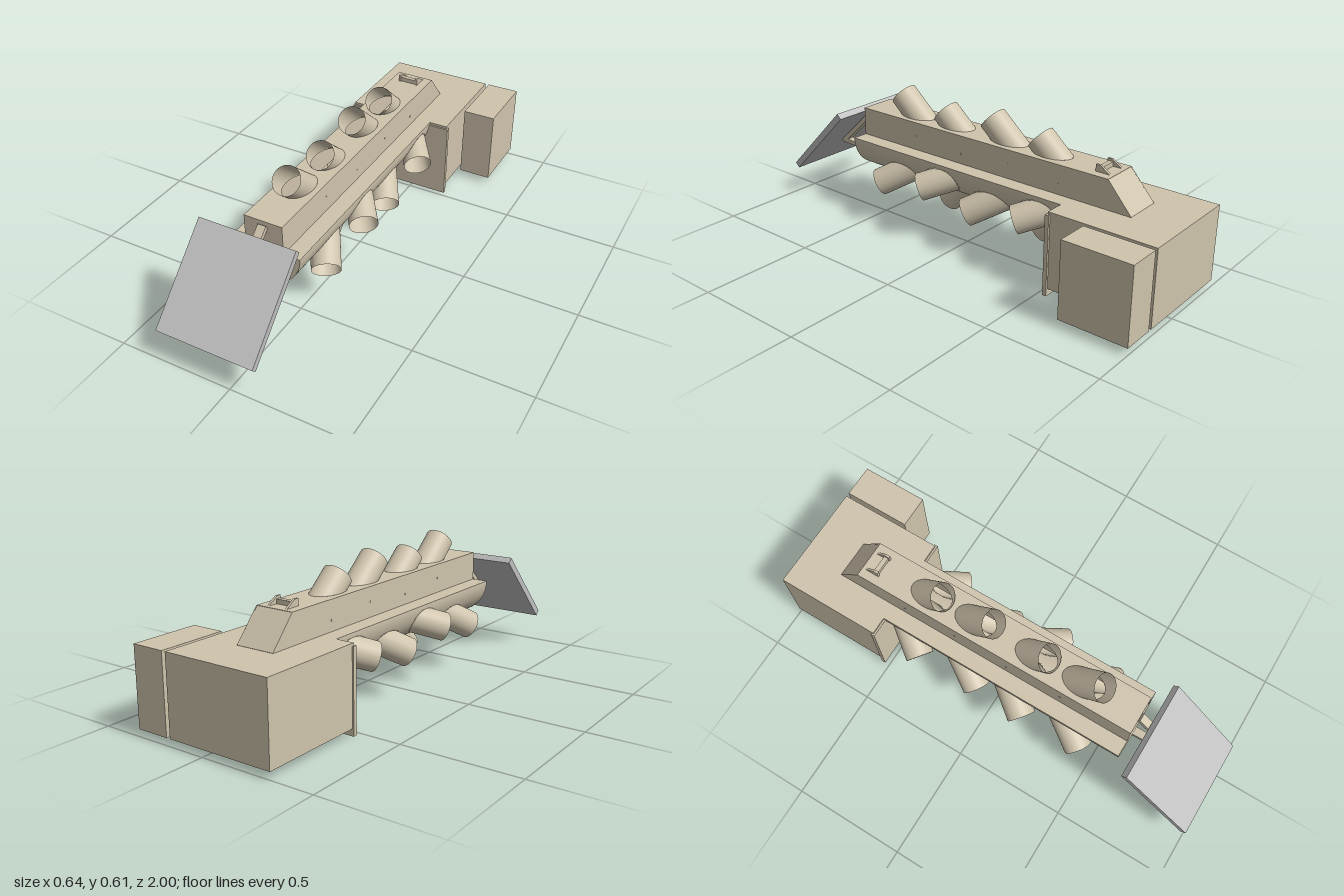
import * as THREE from 'three';

const CX = -0.08, CY = 0.36;            // axis of the long body
const R = 0.157, TOP = 0.126;           // trough radius, height of the upper housing above the axis
const Z0 = -0.53, Z1 = 0.61;            // body ends
const TR = 0.061, S = 0.657, C = 0.754; // tube radius, outward and forward parts of its direction
const deg = Math.PI / 180;

// Tubes: angle round the axis (0 = up), distance of the rim centre from the axis, z of the rim centre
const topTubes = [[0.206, 0.44], [0.18, 0.19], [0.206, -0.07], [0.18, -0.315]].map(([d, z]) => ({ a: 0, d, z }));
const lowTubes = [];
for (const side of [1, -1]) {
  for (const z of [0.44, -0.065]) lowTubes.push({ a: Math.PI - side * 45 * deg, d: 0.237, z });
  for (const z of [0.175, -0.335]) lowTubes.push({ a: Math.PI - side * 60 * deg, d: 0.222, z });
}
for (const z of [0.165, -0.34]) lowTubes.push({ a: Math.PI, d: 0.22, z });

export function createModel() {
  const model = new THREE.Group();
  const tan = new THREE.MeshStandardMaterial({ color: 0xcfc4ad, side: THREE.DoubleSide });
  tan.name = 'tan casing';
  const grey = new THREE.MeshStandardMaterial({ color: 0xbfbfbf });
  grey.name = 'grey panel';

  const add = (name, geometry, material = tan, parent = model) => {
    const mesh = new THREE.Mesh(geometry, material);
    mesh.name = name;
    parent.add(mesh);
    return mesh;
  };
  // Box given by its limits
  const box = (name, x0, x1, y0, y1, z0, z1, parent = model) => {
    const m = add(name, new THREE.BoxGeometry(x1 - x0, y1 - y0, z1 - z0), tan, parent);
    m.position.set((x0 + x1) / 2, (y0 + y1) / 2, (z0 + z1) / 2);
    return m;
  };
  // Flat bar in the side plane, running between two (z, y) points
  const bar = (name, x, width, [za, ya], [zb, yb], thick) => {
    const m = add(name, new THREE.BoxGeometry(width, thick, Math.hypot(zb - za, yb - ya)));
    m.position.set(x, (ya + yb) / 2, (za + zb) / 2);
    m.rotation.x = -Math.atan2(yb - ya, zb - za);
    return m;
  };
  // Side profile of (z, y) points extruded along x
  const profile = (name, pts, x0, x1) => {
    const shape = new THREE.Shape(pts.map(([z, y]) => new THREE.Vector2(-z, y)));
    const g = new THREE.ExtrudeGeometry(shape, { depth: x1 - x0, bevelEnabled: false });
    add(name, g.rotateY(Math.PI / 2)).position.x = x0;
  };

  // Half-round trough, with openings where tubes meet it
  const trough = new THREE.PlaneGeometry(1, 1, 72, 170);
  const p = trough.attributes.position;
  const angles = [];
  for (let i = 0; i < p.count; i++) {
    const a = Math.PI * (1 - p.getX(i));
    angles.push(a);
    p.setXYZ(i, R * Math.sin(a), R * Math.cos(a), Z0 + (p.getY(i) + 0.5) * (Z1 - Z0));
  }
  const isOpen = (a, z) => lowTubes.some((t) => {
    const u = R * Math.sin(a - t.a), v = R * Math.cos(a - t.a) - t.d, w = z - t.z;
    const along = v * S + w * C;
    return Math.cos(a - t.a) > 0.6 && u * u + v * v + w * w - along * along < TR * TR;
  });
  const old = trough.index.array, kept = [];
  for (let i = 0; i < old.length; i += 3) {
    const tri = [old[i], old[i + 1], old[i + 2]];
    const a = tri.reduce((s, k) => s + angles[k], 0) / 3;
    const z = tri.reduce((s, k) => s + p.getZ(k), 0) / 3;
    if (!isOpen(a, z)) kept.push(...tri);
  }
  trough.setIndex(kept);
  trough.computeVertexNormals();
  add('trough', trough).position.set(CX, CY, 0);

  // Front end of the trough and the ledges along its top
  const half = new THREE.Shape().absarc(0, 0, R, Math.PI, 2 * Math.PI, false);
  add('troughFront', new THREE.ShapeGeometry(half, 32)).position.set(CX, CY, Z1);
  for (const s of [1, -1]) {
    const xs = [CX + s * 0.083, CX + s * R].sort((a, b) => a - b);
    box('ledge', xs[0], xs[1], CY - 0.004, CY, Z0, Z1);
  }

  // Upper housing: two walls, front, sloped back and a top plate with openings
  const HW = 0.085, HY = CY + TOP;
  const wall = [[Z1, CY], [Z1, HY], [-0.69, HY], [-0.8, CY]];
  for (const s of [1, -1]) {
    const x = CX + s * (HW - 0.002);
    profile('housingWall', wall, x - 0.002, x + 0.002);
    for (const [z, y] of [[0.29, 0.425], [0.035, 0.405], [-0.215, 0.425], [-0.465, 0.405]]) {
      const rivet = add('rivet', new THREE.CylinderGeometry(0.004, 0.004, 0.004, 10));
      rivet.rotation.z = Math.PI / 2;
      rivet.position.set(CX + s * HW, y, z);
    }
  }
  box('housingFront', CX - HW, CX + HW, CY - 0.002, HY, Z1 - 0.004, Z1);
  bar('housingSlope', CX, 2 * HW, [-0.798, CY], [-0.688, HY - 0.002], 0.004);
  const plate = new THREE.Shape([[-HW, -Z1], [HW, -Z1], [HW, 0.69], [-HW, 0.69]].map(([x, y]) => new THREE.Vector2(x, y)));
  for (const t of topTubes) {
    const z = t.z - (t.d - TOP) * C / S;
    plate.holes.push(new THREE.Path().absellipse(0, -z, TR, TR / S, 0, 2 * Math.PI, true));
  }
  const plateGeo = new THREE.ExtrudeGeometry(plate, { depth: 0.004, bevelEnabled: false, curveSegments: 32 });
  add('housingTop', plateGeo.rotateX(-Math.PI / 2)).position.set(CX, HY - 0.004, 0);

  // Slanted open tubes, each trimmed to the surface it stands on
  const tube = ({ a, d, z }, surface) => {
    const g = new THREE.CylinderGeometry(TR, TR, 1, 40, 1, true);
    const q = g.attributes.position;
    for (let i = 0; i < q.count; i++) {
      const back = (d - q.getZ(i) * C - surface(q.getX(i))) / S;
      q.setY(i, q.getY(i) > 0 ? 0 : -Math.max(back, 0));
    }
    g.rotateX(Math.atan2(C, S)).translate(0, d, z);
    const m = add('tube', g);
    m.position.set(CX, CY, 0);
    m.rotation.z = -a;
  };
  topTubes.forEach((t) => tube(t, () => TOP));
  lowTubes.forEach((t) => tube(t, (u) => Math.sqrt(R * R - u * u)));

  // Small catch on the back of the housing
  for (const s of [1, -1]) {
    const x = CX + s * 0.042;
    profile('catchCheek', [[-0.61, HY], [-0.61, 0.515], [-0.63, 0.515], [-0.675, HY]], x - 0.005, x + 0.005);
  }
  box('catchBar', CX - 0.045, CX + 0.045, HY, 0.505, -0.635, -0.615);

  // Rear cabinet with front flange
  box('cabinet', -0.316, 0.16, 0.03, CY, -1, -0.53);
  box('cabinetFlange', -0.322, 0.169, 0, 0.349, -0.54, -0.522);

  // Side cabinet and the small joints that hold it
  box('sideCabinet', 0.177, 0.322, 0.03, CY, -1, -0.7);
  for (const y of [0.14, 0.19, 0.24]) box('joint', 0.158, 0.18, y - 0.008, y + 0.008, -0.95, -0.78);

  // Tilted front panel and its bracket
  const panel = add('frontPanel', new THREE.BoxGeometry(0.432, 0.03, 0.451), grey);
  panel.position.set(-0.106, 0.297, 0.83);
  panel.rotation.x = Math.PI / 4;
  bar('bracketLower', CX, 0.036, [0.6, 0.243], [0.84, 0.258], 0.02);
  bar('bracketDiagonal', CX, 0.036, [0.84, 0.25], [0.61, 0.465], 0.02);

  return model;
}
